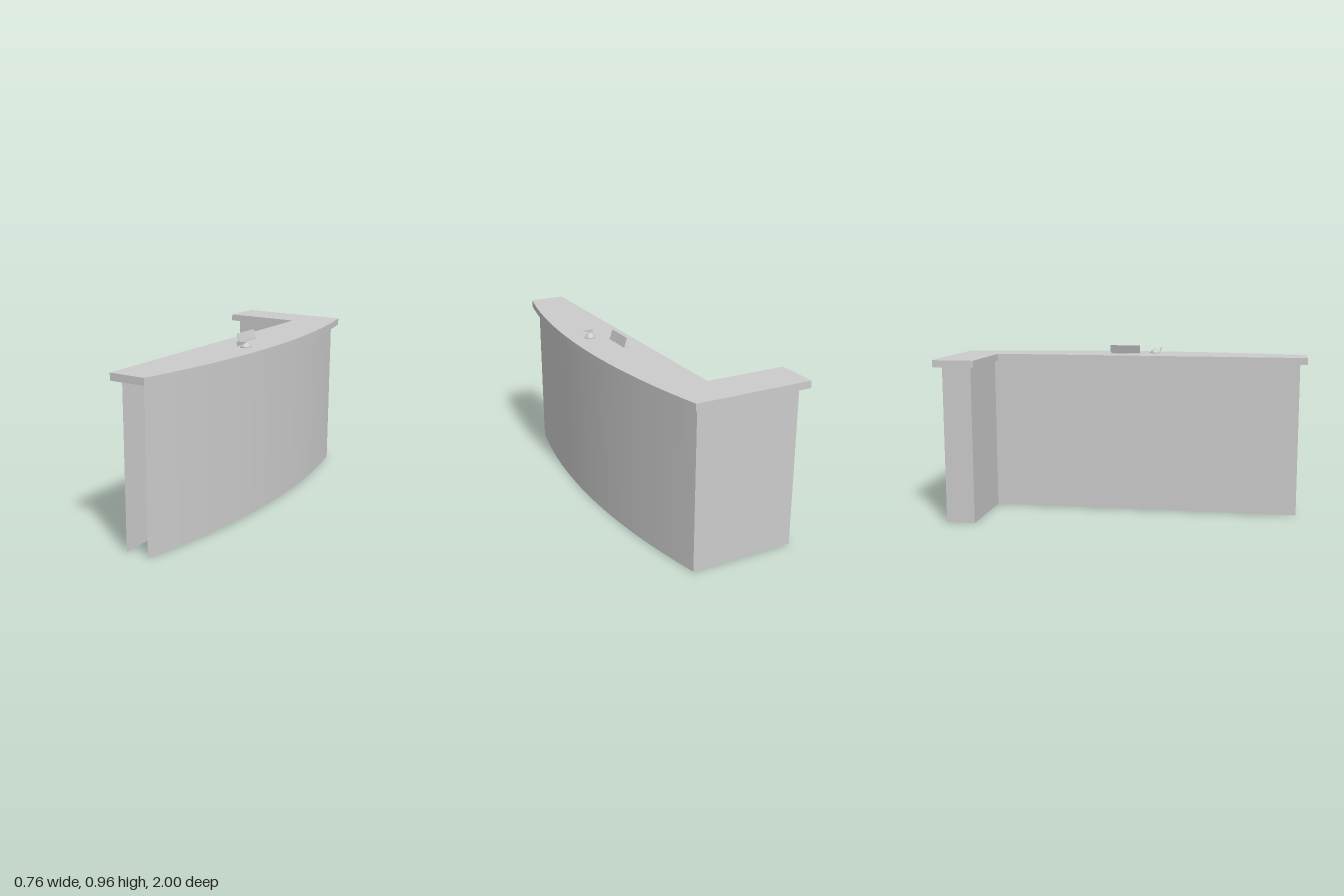
import * as THREE from 'three';

const material = new THREE.MeshStandardMaterial({ color: 0xcccccc, side: THREE.DoubleSide });

// Radius of an arc with the given half chord and bulge
const arcRadius = (half, bulge) => (half * half + bulge * bulge) / (2 * bulge);

export function createModel() {
  const model = new THREE.Group();
  model.name = 'receptionCounter';

  const add = (parent, name, geometry, x = 0, y = 0, z = 0) => {
    const mesh = new THREE.Mesh(geometry, material);
    mesh.name = name;
    mesh.position.set(x, y, z);
    parent.add(mesh);
    return mesh;
  };

  const topY = 0.905, baseH = 0.867;

  // L-shaped worktop with a bowed outer edge
  const R = arcRadius(1, 0.12), half = Math.asin(1 / R);
  const outline = new THREE.Shape();
  outline.moveTo(-0.385, 1);
  outline.lineTo(-0.385, 0.77);
  outline.lineTo(0.06, 0.77);
  outline.lineTo(0.06, -1);
  outline.lineTo(0.26, -1);
  outline.absarc(0.38 - R, 0, R, -half, half, false);
  outline.closePath();
  const top = new THREE.ExtrudeGeometry(outline, { depth: topY - baseH, bevelEnabled: false, curveSegments: 32 });
  top.rotateX(-Math.PI / 2);
  add(model, 'worktop', top, 0, baseH, 0);

  // Curved outer panel
  const r = arcRadius(0.96, 0.115), a = Math.asin(0.96 / r);
  add(model, 'curvedPanel',
    new THREE.CylinderGeometry(r, r, baseH, 32, 1, true, Math.PI / 2 - a, 2 * a),
    0.345 - r, baseH / 2, 0);

  // Straight inner panel and back panel, leaving the far end open
  add(model, 'innerPanel', new THREE.PlaneGeometry(1.92, baseH).rotateY(-Math.PI / 2), 0.1, baseH / 2, 0);
  add(model, 'backPanel', new THREE.PlaneGeometry(0.13, baseH).rotateY(Math.PI), 0.165, baseH / 2, -0.96);

  // Closed return wing
  add(model, 'returnWing', new THREE.BoxGeometry(0.445, baseH, 0.16), -0.1225, baseH / 2, -0.88);

  // Leaning sign on a thin foot
  const sign = new THREE.Group();
  sign.name = 'deskSign';
  sign.position.set(0.17, topY, -0.0375);
  add(sign, 'signFoot', new THREE.BoxGeometry(0.024, 0.004, 0.175), 0, 0.003, 0);
  add(sign, 'signPlate', new THREE.BoxGeometry(0.003, 0.05, 0.172), 0.0005, 0.027, 0).rotation.z = 0.33;
  model.add(sign);

  // Small service bell with a backing flag
  const bell = new THREE.Group();
  bell.name = 'serviceBell';
  bell.position.set(0.264, topY, 0.125);
  add(bell, 'bellBase', new THREE.CylinderGeometry(0.03, 0.03, 0.005, 20), 0, 0.0025, 0);
  const dome = [[0.026, 0.005], [0.022, 0.014], [0.012, 0.022], [0.004, 0.026], [0, 0.032]];
  add(bell, 'bellDome', new THREE.LatheGeometry(dome.map(p => new THREE.Vector2(...p)), 20));
  const flag = new THREE.Shape([[-0.033, 0.005], [0.031, 0.033], [-0.033, 0.033]].map(p => new THREE.Vector2(...p)));
  add(bell, 'bellFlag', new THREE.ShapeGeometry(flag), 0, 0, 0.036);
  model.add(bell);

  // Small loose plate inside the counter
  add(model, 'loosePlate', new THREE.PlaneGeometry(0.033, 0.033).rotateX(-Math.PI / 2), -0.292, 0.07, -0.016);

  return model;
}
